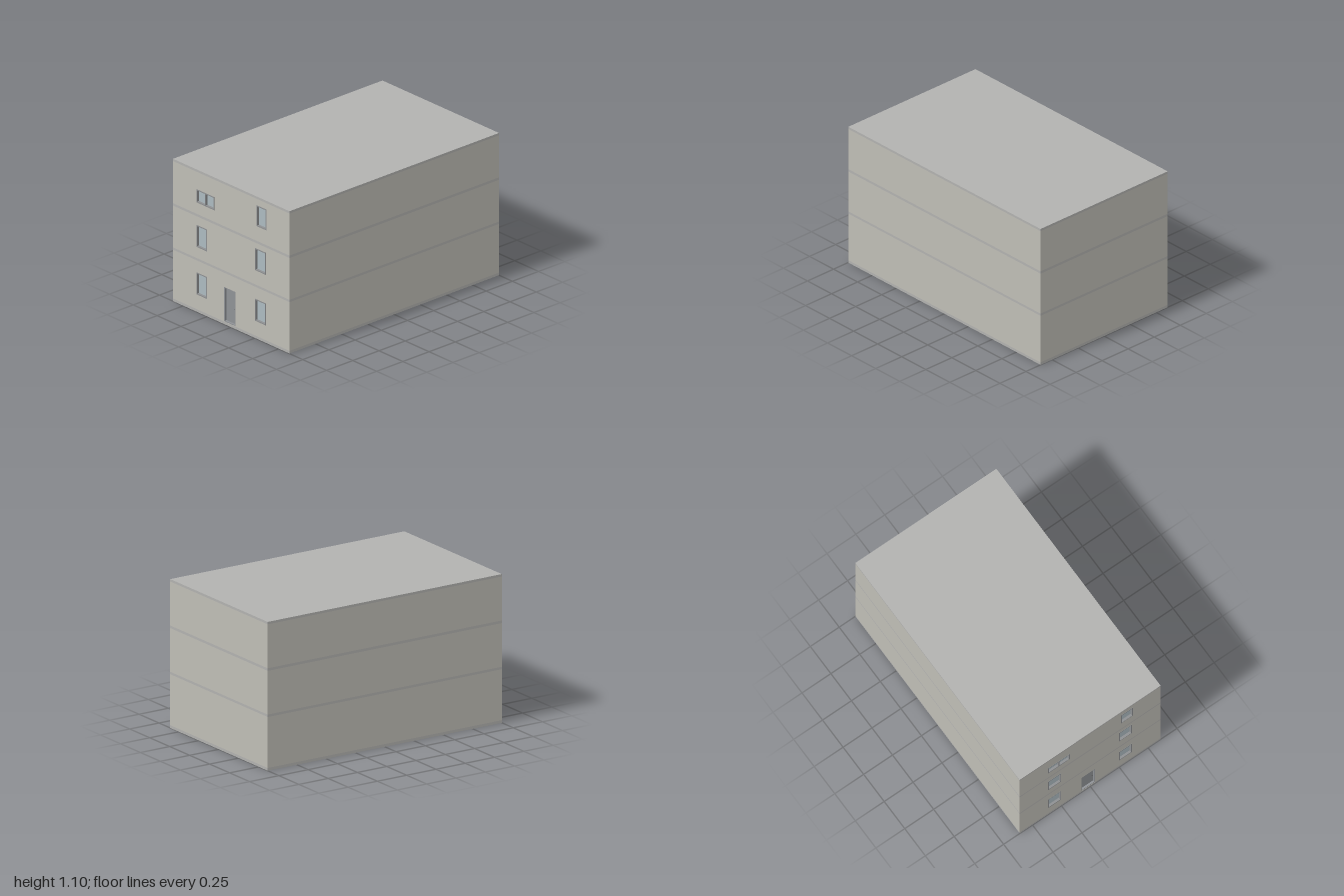
import * as THREE from 'three';

const W = 1.22, D = 2, FRONT = 0.998, BACK = -1, PANEL = 0.03, REVEAL = 0.016;

const mat = (color) => new THREE.MeshStandardMaterial({ color });
const MATS = {
  wall: mat(0xbfbdb5), slab: mat(0xb2b2b0), frame: mat(0x8e9092),
  glass: mat(0xacbac0), door: mat(0x8f9296), handle: mat(0x4a4a4a),
};

function add(parent, name, geometry, material, x = 0, y = 0, z = 0) {
  const mesh = new THREE.Mesh(geometry, material);
  mesh.name = name;
  mesh.position.set(x, y, z);
  parent.add(mesh);
  return mesh;
}

function rect(Type, x0, y0, x1, y1) {
  return new Type([[x0, y0], [x1, y0], [x1, y1], [x0, y1]].map((p) => new THREE.Vector2(...p)));
}

const extrude = (shape, depth) => new THREE.ExtrudeGeometry(shape, { depth, bevelEnabled: false });

// Openings as [x0, y0, x1, y1, panes]
const STOREYS = [
  { y0: 0.02, y1: 0.397, door: [-0.075, 0.022, 0.043, 0.287],
    windows: [[-0.364, 0.135, -0.252, 0.305, 1], [0.249, 0.135, 0.361, 0.305, 1]] },
  { y0: 0.415, y1: 0.738,
    windows: [[-0.364, 0.502, -0.252, 0.672, 1], [0.249, 0.526, 0.361, 0.697, 1]] },
  { y0: 0.757, y1: 1.082,
    windows: [[-0.364, 0.846, -0.177, 0.948, 2], [0.266, 0.872, 0.37, 1.033, 1]] },
];
const SLABS = [[0, 0.02], [0.397, 0.415], [0.738, 0.757], [1.082, 1.1]];

// Thin frame lining the opening, with panes set back inside it
function makeWindow([x0, y0, x1, y1, panes]) {
  const group = new THREE.Group();
  group.name = 'window';
  const t = 0.008, gap = 0.006;
  const shape = rect(THREE.Shape, x0, y0, x1, y1);
  const paneW = (x1 - x0 - 2 * t - (panes - 1) * gap) / panes;
  for (let i = 0; i < panes; i++) {
    const px = x0 + t + i * (paneW + gap);
    shape.holes.push(rect(THREE.Path, px, y0 + t, px + paneW, y1 - t));
    add(group, 'glass', new THREE.PlaneGeometry(paneW, y1 - y0 - 2 * t), MATS.glass,
      px + paneW / 2, (y0 + y1) / 2, FRONT - REVEAL);
  }
  add(group, 'windowFrame', extrude(shape, REVEAL + 0.012), MATS.frame, 0, 0, 1 - REVEAL - 0.012);
  return group;
}

// Recessed door leaf in a thin frame, with a small handle
function makeDoor([x0, y0, x1, y1]) {
  const group = new THREE.Group();
  group.name = 'door';
  const t = 0.006, cx = (x0 + x1) / 2, cy = (y0 + y1) / 2;
  const shape = rect(THREE.Shape, x0, y0, x1, y1);
  shape.holes.push(rect(THREE.Path, x0 + t, y0 + t, x1 - t, y1 - t));
  add(group, 'doorFrame', extrude(shape, 0.026), MATS.door, 0, 0, FRONT - 0.027);
  add(group, 'doorLeaf', new THREE.BoxGeometry(x1 - x0 - 2 * t, y1 - y0 - 2 * t, 0.01), MATS.door,
    cx, cy, FRONT - REVEAL - 0.005);
  add(group, 'doorHandle', new THREE.SphereGeometry(0.004, 12, 8), MATS.handle,
    x1 - 0.016, cy - 0.01, FRONT - REVEAL + 0.003);
  return group;
}

export function createModel() {
  const model = new THREE.Group();
  model.name = 'building';
  const depth = FRONT - BACK;

  // Floor and roof slabs, flush with the walls
  for (const [y0, y1] of SLABS) {
    add(model, y1 > 1 ? 'roofSlab' : 'floorSlab', new THREE.BoxGeometry(W, y1 - y0, depth), MATS.slab,
      0, (y0 + y1) / 2, (FRONT + BACK) / 2);
  }

  // Storeys: solid body behind a pierced front wall
  for (const { y0, y1, door, windows } of STOREYS) {
    const storey = new THREE.Group();
    storey.name = 'storey';
    model.add(storey);
    const bodyDepth = depth - PANEL;
    add(storey, 'storeyBody', new THREE.BoxGeometry(W, y1 - y0, bodyDepth), MATS.wall,
      0, (y0 + y1) / 2, BACK + bodyDepth / 2);
    const wall = rect(THREE.Shape, -W / 2, y0, W / 2, y1);
    for (const [a, b, c, d] of door ? [...windows, door] : windows) {
      wall.holes.push(rect(THREE.Path, a, b, c, d));
    }
    add(storey, 'frontWall', extrude(wall, PANEL), MATS.wall, 0, 0, FRONT - PANEL);
    windows.forEach((w) => storey.add(makeWindow(w)));
    if (door) storey.add(makeDoor(door));
  }
  return model;
}
